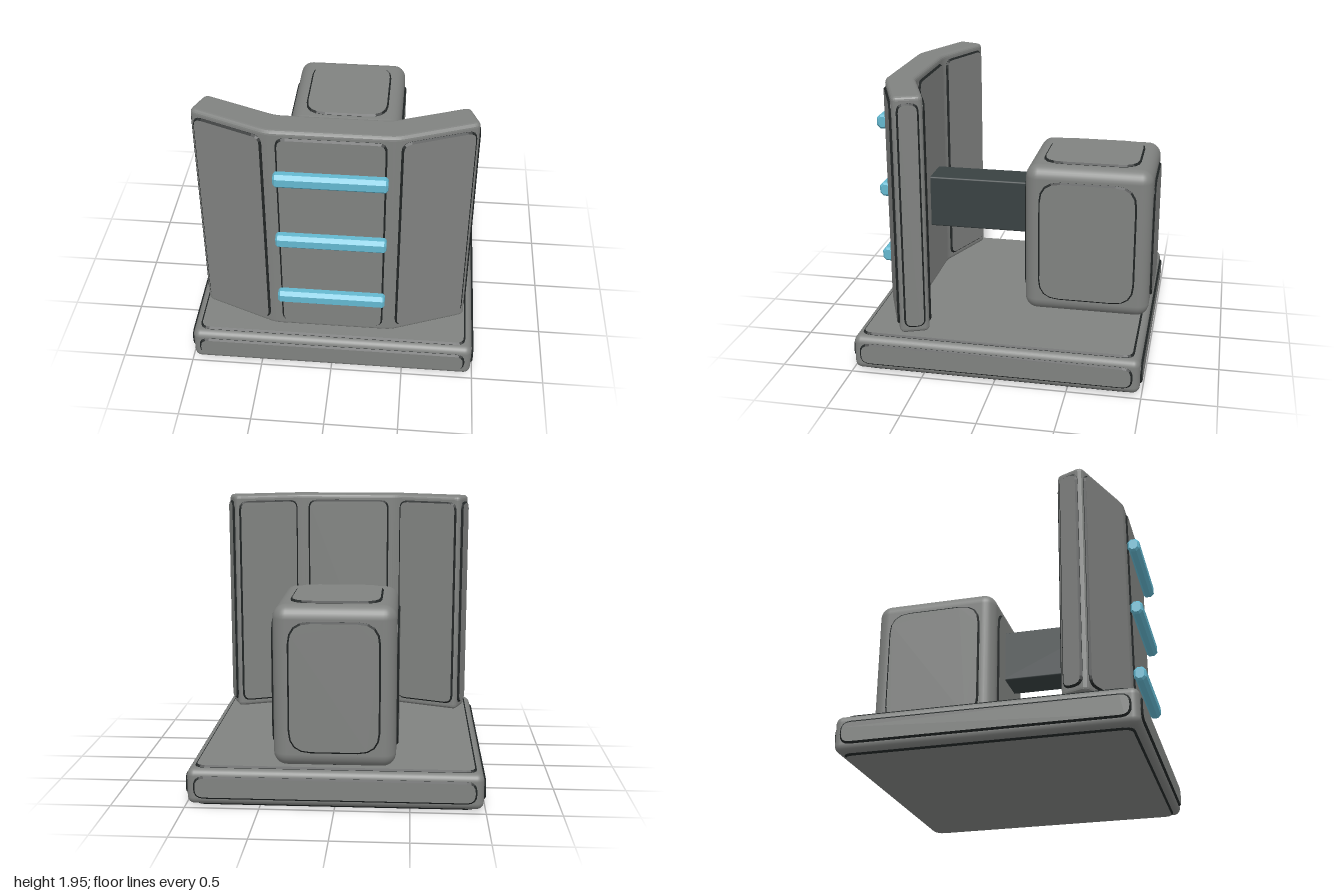
import * as THREE from 'three';
import { RoundedBoxGeometry } from 'three/addons/geometries/RoundedBoxGeometry.js';

const material = (name, color) => {
  const m = new THREE.MeshStandardMaterial({ color });
  m.name = name;
  return m;
};

// Polygon whose corners are cut back by r and rounded
function roundedShape(points, r) {
  const shape = new THREE.Shape();
  points.forEach(([x, y], i) => {
    const p = new THREE.Vector2(x, y);
    const prev = new THREE.Vector2(...points[(i + points.length - 1) % points.length]);
    const next = new THREE.Vector2(...points[(i + 1) % points.length]);
    const a = prev.sub(p).setLength(r).add(p);
    const b = next.sub(p).setLength(r).add(p);
    if (i === 0) shape.moveTo(a.x, a.y);
    else shape.lineTo(a.x, a.y);
    shape.quadraticCurveTo(x, y, b.x, b.y);
  });
  shape.closePath();
  return shape;
}

const rect = (w, h) => [[-w / 2, -h / 2], [w / 2, -h / 2], [w / 2, h / 2], [-w / 2, h / 2]];

// Bevelled extrusion of exact outer size, running from z = 0 to z = length
function bevelled(shape, length, bevel, segments, curveSegments) {
  return new THREE.ExtrudeGeometry(shape, {
    depth: length - 2 * bevel, bevelThickness: bevel, bevelSize: bevel,
    bevelOffset: -bevel, bevelSegments: segments, curveSegments,
  }).translate(0, 0, bevel);
}

export function createModel() {
  const grey = material('grey metal', 0x808280);
  const dark = material('dark trim', 0x222626);
  const slate = material('dark slate', 0x394142);
  const blue = material('light blue', 0x64b8d0);
  const root = new THREE.Group();
  root.name = 'shieldStand';

  function add(parent, name, geometry, mat) {
    const mesh = new THREE.Mesh(geometry, mat);
    mesh.name = name;
    parent.add(mesh);
    return mesh;
  }

  // Raised plate facing +z with a dark bevelled rim
  function addPlate(parent, w, h, r) {
    const geometry = bevelled(roundedShape(rect(w, h), r), 0.03, 0.012, 1, 4).translate(0, 0, -0.016);
    return add(parent, 'panel', geometry, [grey, dark]);
  }

  // Rounded block with a plate on each of its six faces
  function addPanelledBox(name, [w, h, d], [x, y, z], radius, margin, plateRadius) {
    const group = new THREE.Group();
    group.name = name;
    group.position.set(x, y, z);
    add(group, name + 'Body', new RoundedBoxGeometry(w, h, d, 4, radius), grey);
    const m = 2 * margin;
    for (const s of [1, -1]) {
      const front = addPlate(group, w - m, h - m, plateRadius);
      front.position.z = s * d / 2;
      front.rotation.y = s > 0 ? 0 : Math.PI;
      const side = addPlate(group, d - m, h - m, plateRadius);
      side.position.x = s * w / 2;
      side.rotation.y = s * Math.PI / 2;
      const top = addPlate(group, w - m, d - m, plateRadius);
      top.position.y = s * h / 2;
      top.rotation.x = -s * Math.PI / 2;
    }
    root.add(group);
  }

  addPanelledBox('base', [1.972, 0.247, 1.972], [0, 0.138, 0], 0.05, 0.046, 0.07);
  addPanelledBox('rearBlock', [0.81, 1.082, 0.885], [0, 0.83, -0.542], 0.09, 0.102, 0.15);

  // Arm joining the block to the shield
  add(root, 'arm', new RoundedBoxGeometry(0.26, 0.38, 0.8, 2, 0.012), slate).position.set(0, 0.968, 0.29);

  // Bent shield wall, from its plan as x, z
  const shield = new THREE.Group();
  shield.name = 'shield';
  root.add(shield);
  const half = [[0.41, 0.865], [0.93, 0.66], [0.855, 0.47], [0.37, 0.66]];
  const plan = [...half, ...half.map(([x, z]) => [-x, z]).reverse()];
  const wall = bevelled(roundedShape(plan.map(([x, z]) => [x, -z]), 0.045), 1.665, 0.028, 4, 5);
  add(shield, 'shieldBody', wall.rotateX(-Math.PI / 2).translate(0, 0.285, 0), grey);

  // One tall plate on every face of the shield
  plan.forEach(([x, z], i) => {
    const [nx, nz] = plan[(i + 1) % plan.length];
    const dx = nx - x, dz = nz - z;
    const margin = Math.abs(dz) < 0.001 ? 0.058 : 0.029;
    const width = Math.hypot(dx, dz) - 2 * margin;
    const plate = addPlate(shield, width, 1.577, Math.min(0.065, width * 0.4));
    plate.position.set((x + nx) / 2, 1.118, (z + nz) / 2);
    plate.rotation.y = Math.atan2(-dz, dx);
  });

  // Chamfered blue bars across the front
  const barShape = roundedShape(rect(0.085, 0.1), 0.024);
  for (const y of [0.62, 1.12, 1.62]) {
    const geometry = bevelled(barShape, 0.73, 0.014, 1, 1).translate(0, 0, -0.365).rotateY(Math.PI / 2);
    add(root, 'lightBar', geometry, blue).position.set(0, y, 0.913);
  }
  return root;
}
